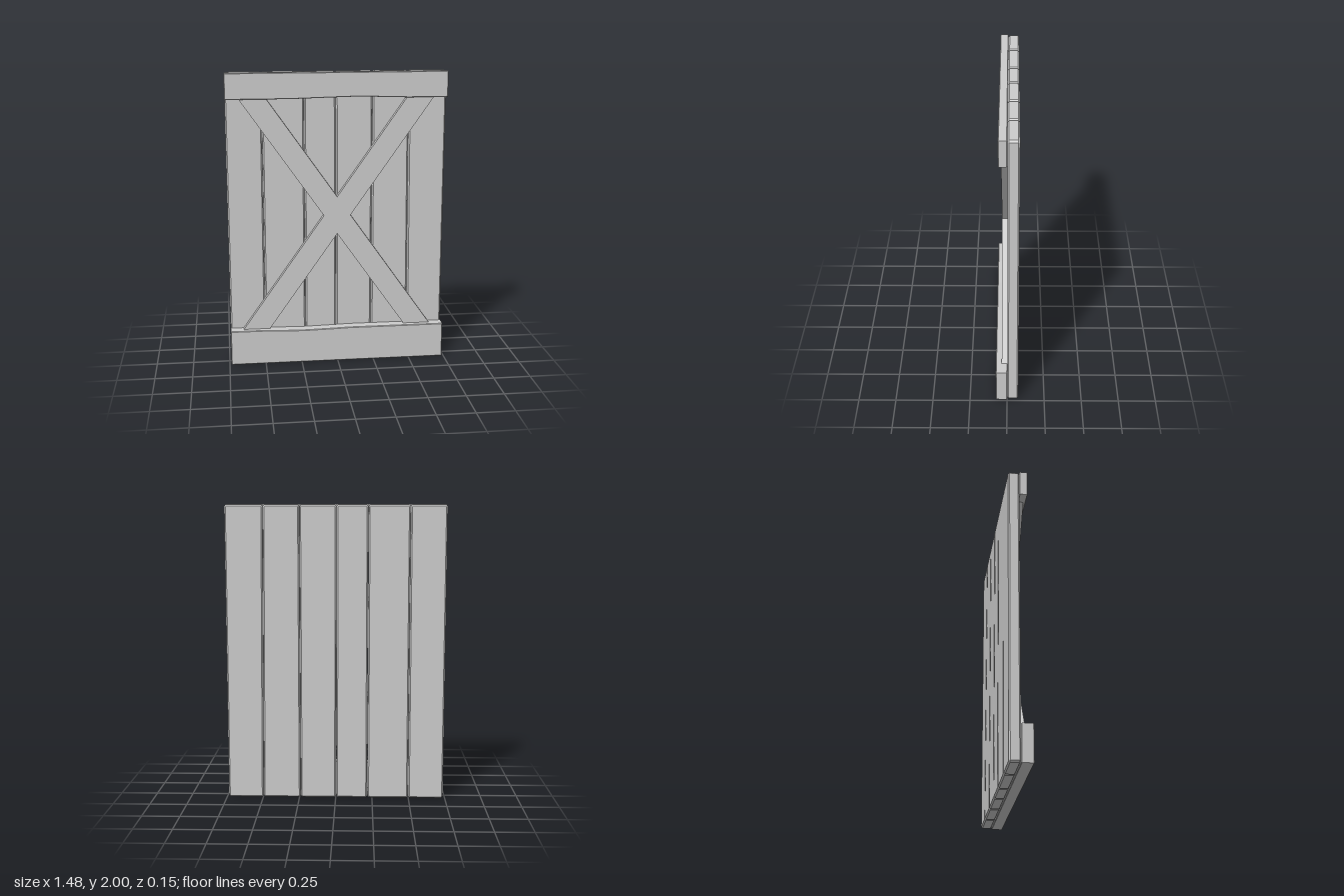
import * as THREE from 'three';

const HALF_W = 0.738;

// Extrudes an outline from z0 to z1 with chamfered rims kept inside the outline
function slab(name, points, z0, z1, chamfer, material) {
  const shape = new THREE.Shape(points.map(([x, y]) => new THREE.Vector2(x, y)));
  const geometry = new THREE.ExtrudeGeometry(shape, {
    depth: z1 - z0 - 2 * chamfer,
    bevelEnabled: chamfer > 0,
    bevelSegments: 1,
    bevelSize: chamfer,
    bevelThickness: chamfer,
    bevelOffset: -chamfer,
  });
  geometry.translate(0, 0, z0 + chamfer);
  const mesh = new THREE.Mesh(geometry, material);
  mesh.name = name;
  return mesh;
}

export function createModel() {
  const model = new THREE.Group();
  model.name = 'plankDoor';
  const wood = new THREE.MeshStandardMaterial({ color: 0xcccccc });
  wood.name = 'plain grey';

  // Vertical planks: joints given as [x at bottom, x at top]
  const joints = [
    [-HALF_W, -HALF_W], [-0.497, -0.495], [-0.217, -0.217], [-0.003, -0.006],
    [0.241, 0.241], [0.497, 0.483], [HALF_W, HALF_W],
  ];
  const planks = new THREE.Group();
  planks.name = 'planks';
  const c = 0.011, gap = 0.001, y0 = 0.002, y1 = 1.998;
  for (let i = 0; i < joints.length - 1; i++) {
    const [lb, lt] = joints[i].map((x) => x + gap);
    const [rb, rt] = joints[i + 1].map((x) => x - gap);
    planks.add(slab('plank' + (i + 1), [
      [lb + c, y0], [rb - c, y0], [rb, y0 + c], [rt, y1 - c],
      [rt - c, y1], [lt + c, y1], [lt, y1 - c], [lb, y0 + c],
    ], -0.075, -0.002, 0.009, wood));
  }
  model.add(planks);

  // Cross brace: one flush X-shaped board
  const mid = 1.035, half = 0.09, slope = 1.425, reach = 0.81;
  const run = reach / slope, notch = half * slope;
  model.add(slab('crossBrace', [
    [half, mid], [run + half, mid + reach], [run - half, mid + reach],
    [0, mid + notch], [-run + half, mid + reach], [-run - half, mid + reach],
    [-half, mid], [-run - half, mid - reach], [-run + half, mid - reach],
    [0, mid - notch], [run - half, mid - reach], [run + half, mid - reach],
  ], -0.003, 0.036, 0, wood));

  // Top rail with a slightly uneven lower edge
  model.add(slab('topRail', [
    [-HALF_W, 1.828], [-0.3, 1.828], [-0.02, 1.835], [0.17, 1.839],
    [0.33, 1.832], [0.48, 1.828], [HALF_W, 1.828], [HALF_W, 2], [-HALF_W, 2],
  ], -0.002, 0.052, 0.004, wood));

  // Thicker bottom rail with a slightly uneven upper edge
  model.add(slab('bottomRail', [
    [-HALF_W, 0], [HALF_W, 0], [HALF_W, 0.242], [0.08, 0.242],
    [-0.05, 0.238], [-0.24, 0.234], [-0.4, 0.237], [-0.5, 0.242], [-HALF_W, 0.242],
  ], -0.002, 0.075, 0.004, wood));

  return model;
}
